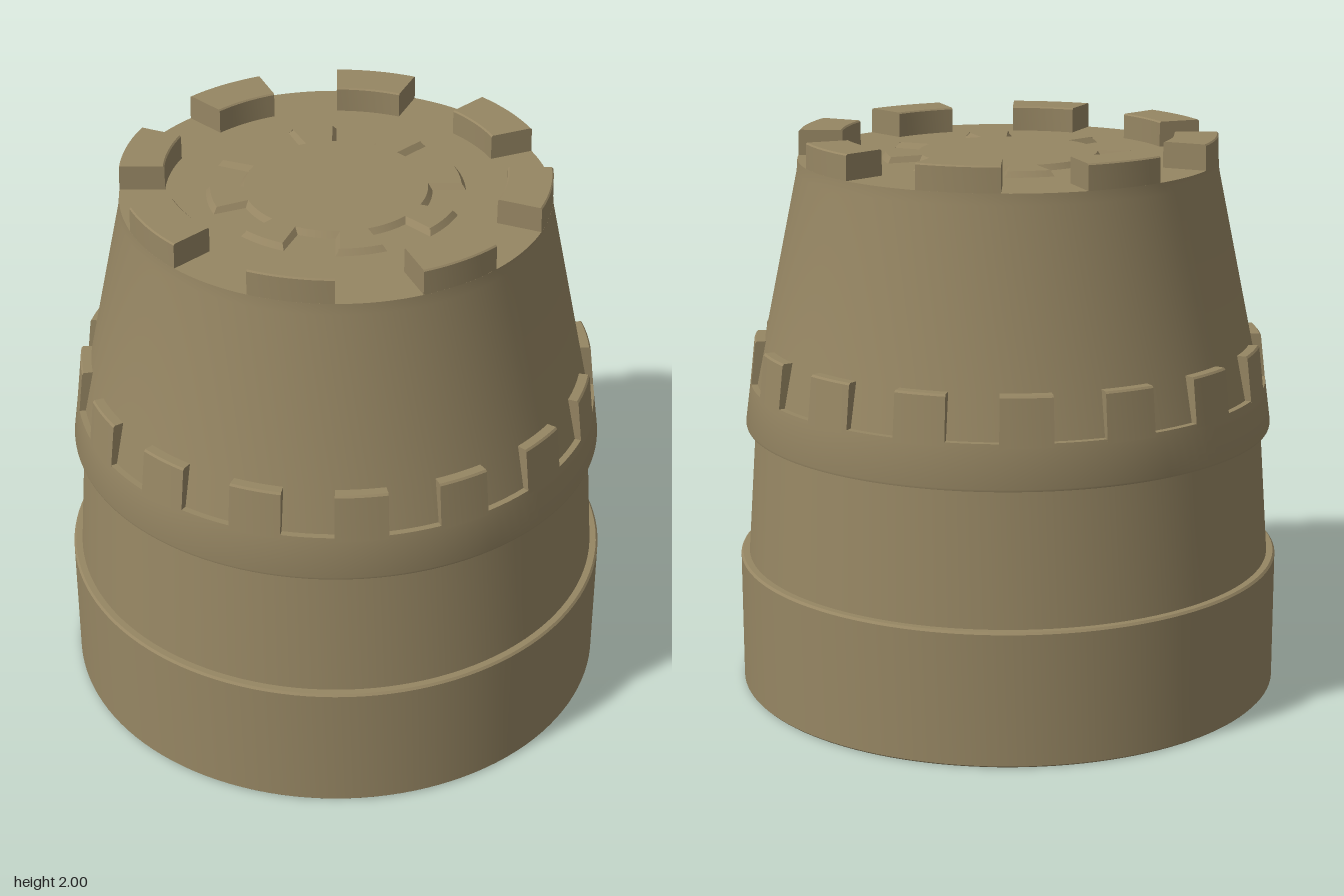
import * as THREE from 'three';
import { mergeGeometries, toCreasedNormals } from 'three/addons/utils/BufferGeometryUtils.js';

const CREASE = 0.4;
const toPoints = (pairs) => pairs.map(([r, y]) => new THREE.Vector2(r, y));

// Solid block swept around y from a counter-clockwise (radius, height) outline
function arcBlock(pairs, start, length, segments) {
  const outline = toPoints(pairs);
  const sweep = new THREE.LatheGeometry([...outline, outline[0]], segments, start, length);
  const startCap = new THREE.ShapeGeometry(new THREE.Shape(outline));
  const endCap = startCap.clone();
  endCap.index.array.reverse();
  startCap.rotateY(start - Math.PI / 2);
  endCap.rotateY(start + length - Math.PI / 2);
  return toCreasedNormals(mergeGeometries([sweep, startCap, endCap]), CREASE);
}

// Ring of equal blocks, each filling half of its step
function toothRing(name, toothName, pairs, count, material) {
  const ring = new THREE.Group();
  ring.name = name;
  const step = (Math.PI * 2) / count;
  const geometry = arcBlock(pairs, 0, step / 2, 8);
  for (let i = 0; i < count; i++) {
    const tooth = new THREE.Mesh(geometry, material);
    tooth.name = toothName;
    tooth.rotation.y = i * step;
    ring.add(tooth);
  }
  return ring;
}

export function createModel() {
  const model = new THREE.Group();
  model.name = 'tower';
  const stone = new THREE.MeshStandardMaterial({ color: 0x968663 });
  stone.name = 'sandstone';

  const addLathe = (name, pairs) => {
    const geometry = new THREE.LatheGeometry(toPoints(pairs), 128);
    const mesh = new THREE.Mesh(toCreasedNormals(geometry, CREASE), stone);
    mesh.name = name;
    model.add(mesh);
  };

  // Plinth, lower wall, collar, tapered upper wall
  addLathe('base', [[0, 0], [0.97, 0], [0.975, 0.005], [0.975, 0.472], [0.968, 0.48], [0.93, 0.48]]);
  addLathe('lowerWall', [[0.945, 0.475], [0.91, 0.965]]);
  addLathe('collar', [[0.9, 0.957], [0.943, 0.957], [0.945, 0.965], [0.925, 1.115], [0.89, 1.115]]);
  addLathe('upperWall', [[0.905, 1.105], [0.87, 1.27], [0.745, 1.87], [0.742, 1.91], [0, 1.91]]);

  // Collar crenellations, following the wall's slope
  model.add(toothRing('collarCrenellations', 'collarTooth',
    [[0.88, 1.1], [0.927, 1.1], [0.908, 1.265], [0.902, 1.272], [0.85, 1.272]], 16, stone));

  // Battlements on the roof edge
  model.add(toothRing('battlements', 'merlon',
    [[0.585, 1.9], [0.742, 1.9], [0.74, 1.995], [0.735, 2], [0.59, 2], [0.585, 1.995]], 8, stone));

  // Low toothed plate in the middle of the roof
  const plate = new THREE.Shape();
  const half = Math.PI / 8;
  for (let i = 0; i < 8; i++) {
    const a = i * half * 2;
    plate.absarc(0, 0, 0.33, a, a + half, false);
    plate.absarc(0, 0, 0.445, a + half, a + half * 2, false);
  }
  const plateGeometry = new THREE.ExtrudeGeometry(plate, {
    depth: 0.005, curveSegments: 8, bevelEnabled: true,
    bevelThickness: 0.02, bevelSize: 0.015, bevelOffset: -0.015, bevelSegments: 1,
  });
  plateGeometry.rotateX(-Math.PI / 2);
  const roofPlate = new THREE.Mesh(toCreasedNormals(plateGeometry, CREASE), stone);
  roofPlate.name = 'roofPlate';
  roofPlate.position.y = 1.905;
  model.add(roofPlate);

  return model;
}
